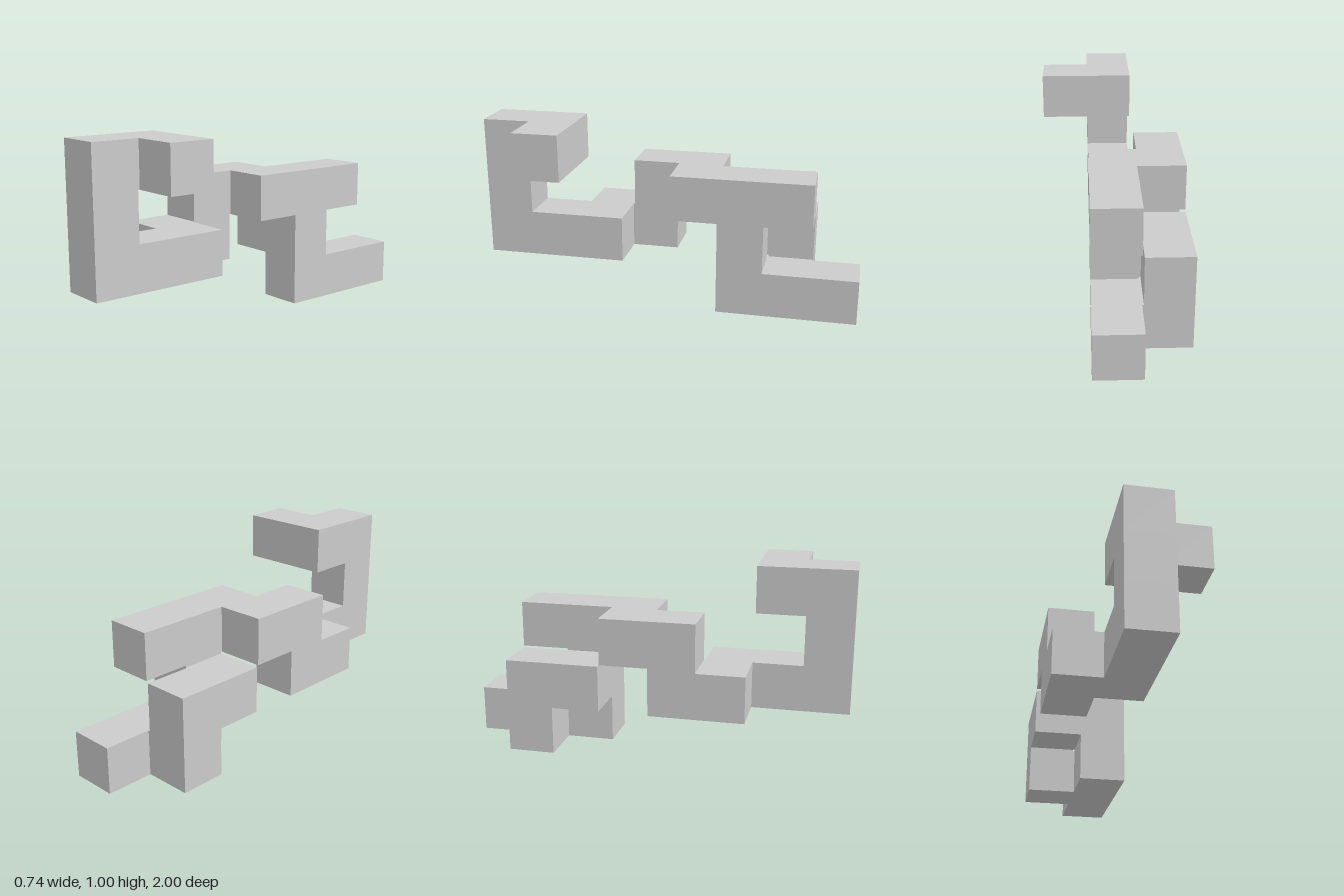
import * as THREE from 'three';

const PITCH = 0.2511; // spacing of the cubes
const SIZE = 0.2423;  // width of the bar; the rest is the clearance between folds

// Corner cubes (x, y, z index) of the straight runs in each branch
const BRANCHES = [
  // front hook, step to the side, rise, and long upper bar to the back
  [[2, 3, 6], [1, 3, 6], [1, 3, 7], [1, 1, 7], [1, 1, 5], [0, 1, 5],
    [0, 1, 4], [0, 2, 4], [0, 2, 3], [1, 2, 3], [1, 2, 1]],
  // post under the upper bar and the foot running to the back
  [[1, 2, 2], [1, 0, 2], [1, 0, 0]],
  // side loop leaving the post and returning to the foot
  [[1, 1, 2], [0, 1, 2], [0, 1, 1], [0, 0, 1], [1, 0, 1]],
];

// Lower edge of a grid slot: even slots are cubes, odd slots the gaps between
const edge = (g) => Math.floor(g / 2) * PITCH + (g % 2 ? SIZE : 0);

// Every slot filled by the runs, including the gaps that a run bridges
function fillSlots() {
  const slots = new Map();
  for (const corners of BRANCHES) {
    for (let i = 1; i < corners.length; i++) {
      const from = corners[i - 1], to = corners[i];
      const steps = 2 * Math.max(...from.map((c, k) => Math.abs(to[k] - c)));
      for (let s = 0; s <= steps; s++) {
        const slot = from.map((c, k) => Math.round(2 * c + 2 * (to[k] - c) * s / steps));
        slots.set(slot.join(), slot);
      }
    }
  }
  return slots;
}

// One closed skin: a quad wherever a filled slot meets an empty one
function barGeometry() {
  const slots = fillSlots();
  const positions = [];
  for (const slot of slots.values()) {
    for (let a = 0; a < 3; a++) {
      for (const side of [-1, 1]) {
        const next = [...slot];
        next[a] += side;
        if (slots.has(next.join())) continue;
        const u = (a + 1) % 3, v = (a + 2) % 3;
        const corner = (du, dv) => {
          const p = [0, 0, 0];
          p[a] = edge(slot[a] + (side > 0 ? 1 : 0));
          p[u] = edge(slot[u] + du);
          p[v] = edge(slot[v] + dv);
          return p;
        };
        const quad = [corner(0, 0), corner(1, 0), corner(1, 1), corner(0, 1)];
        if (side < 0) quad.reverse();
        for (const k of [0, 1, 2, 0, 2, 3]) positions.push(...quad[k]);
      }
    }
  }
  const geometry = new THREE.BufferGeometry();
  geometry.setAttribute('position', new THREE.Float32BufferAttribute(positions, 3));
  geometry.translate(-(2 * PITCH + SIZE) / 2, 0, -(7 * PITCH + SIZE) / 2);
  geometry.computeVertexNormals();
  return geometry;
}

export function createModel() {
  const group = new THREE.Group();
  group.name = 'foldedCubePuzzle';
  const bar = new THREE.Mesh(
    barGeometry(),
    new THREE.MeshStandardMaterial({ color: 0xcccccc, flatShading: true }),
  );
  bar.name = 'foldedBar';
  group.add(bar);
  return group;
}
